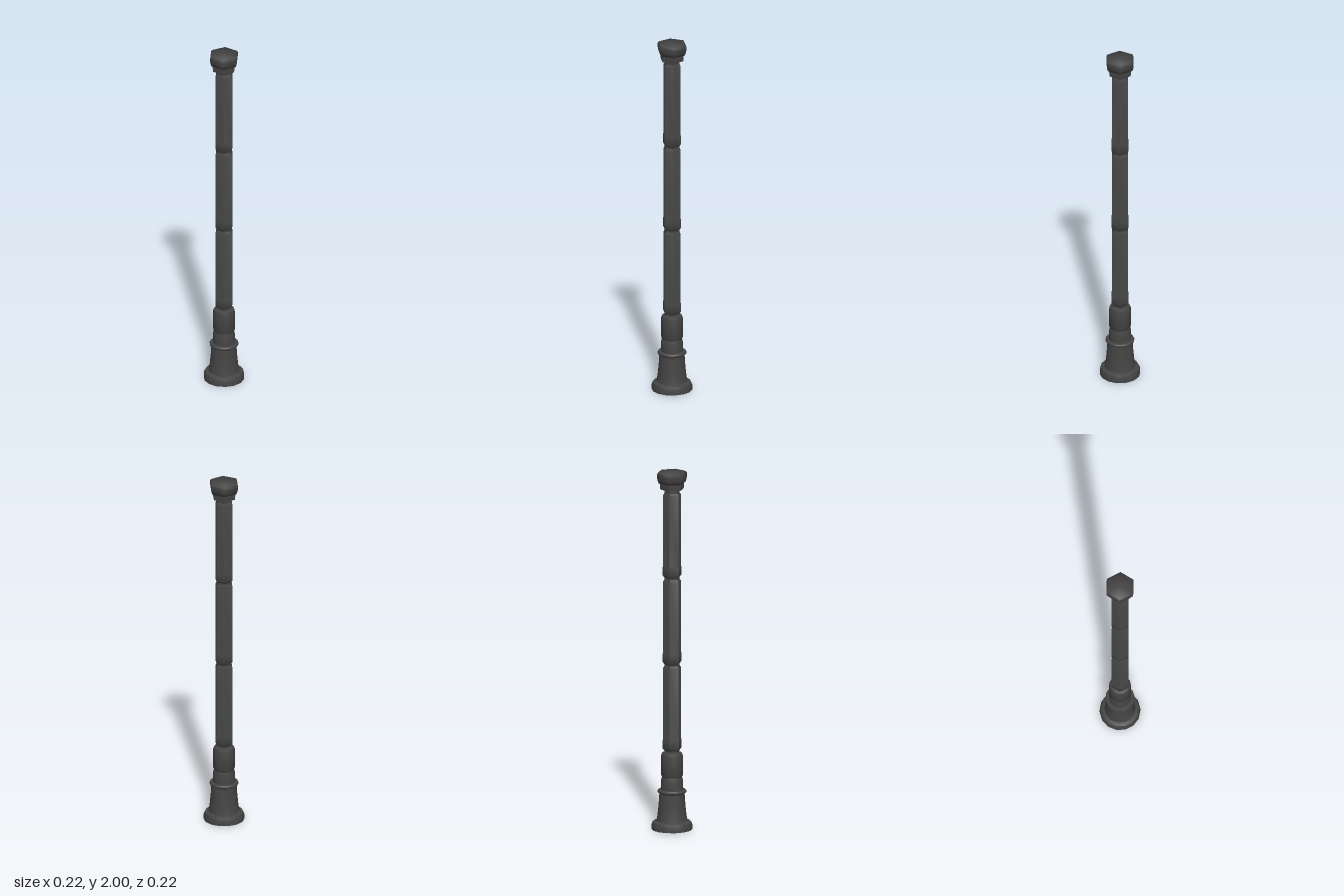
import * as THREE from 'three';
import { toCreasedNormals } from 'three/addons/utils/BufferGeometryUtils.js';

const iron = new THREE.MeshStandardMaterial({ color: 0x444444 });

// Turned part: [radius, height] pairs from bottom to top, with a corner on +x
function turned(name, sides, profile, crease) {
  const points = profile.map(([r, y]) => new THREE.Vector2(r, y));
  const lathe = new THREE.LatheGeometry(points, sides, Math.PI / 2);
  const mesh = new THREE.Mesh(toCreasedNormals(lathe, crease), iron);
  mesh.name = name;
  return mesh;
}

export function createModel() {
  const post = new THREE.Group();
  post.name = 'post';

  // Round foot, flared pedestal with a collar, and the sleeve above it
  post.add(turned('foot', 14, [
    [0, 0], [0.111, 0], [0.111, 0.028], [0.105, 0.043], [0.09, 0.05], [0, 0.05],
  ], 0.7));
  post.add(turned('pedestal', 14, [
    [0.086, 0.045], [0.079, 0.08], [0.073, 0.14], [0.069, 0.2],
    [0.078, 0.206], [0.08, 0.215], [0.075, 0.222], [0, 0.222],
  ], 0.7));
  post.add(turned('sleeve', 14, [
    [0.06, 0.215], [0.06, 0.275], [0.055, 0.293], [0.06, 0.303],
    [0.06, 0.41], [0.055, 0.426], [0.04, 0.432], [0, 0.432],
  ], 0.7));

  // Hexagonal core, visible in the grooves between shaft sections
  post.add(turned('core', 6, [[0.043, 0.42], [0.043, 1.91]], 0.7));

  // Three equal hexagonal shaft sections, each with a slight cuff at its foot
  for (let i = 0; i < 3; i++) {
    const y = 0.44 + i * 0.483;
    post.add(turned('shaftSection' + (i + 1), 6, [
      [0.043, y], [0.053, y + 0.014], [0.053, y + 0.06], [0.051, y + 0.065],
      [0.051, y + 0.462], [0.043, y + 0.474],
    ], 0.7));
  }

  // Hexagonal cap: neck, swelling body and nearly flat top
  post.add(turned('capNeck', 6, [
    [0, 1.9], [0.066, 1.9], [0.069, 1.925], [0.069, 1.94],
  ], 0.7));
  post.add(turned('cap', 6, [
    [0.066, 1.93], [0.077, 1.937], [0.083, 1.955], [0.085, 1.975],
    [0.084, 1.988], [0.079, 1.996], [0, 2],
  ], 1.1));

  return post;
}
